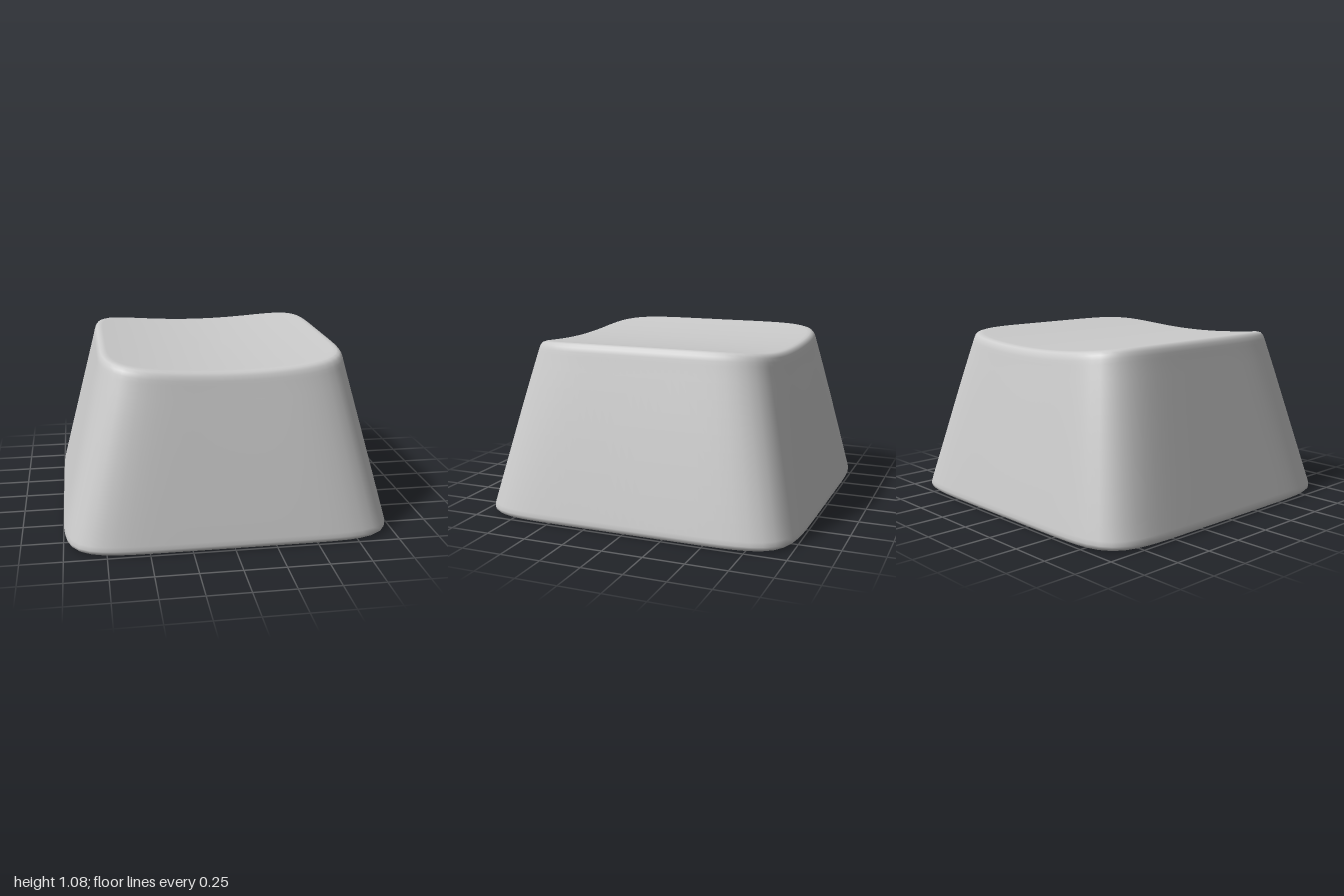
import * as THREE from 'three';

const SEGMENTS = 112;
const DISH = 0.055; // depth of the cylindrical dish in the top

// Cross-sections from bottom centre to top centre:
// [half width x, half depth z, corner squareness, height, share of dish]
const sections = [
  [0, 0, 7.5, 0, 0],
  [0.5, 0.5, 7.5, 0, 0],
  [0.93, 0.93, 7.5, 0, 0],
  [0.965, 0.965, 7.5, 0.001, 0],
  [0.985, 0.985, 7.5, 0.006, 0],
  [0.997, 0.997, 7.5, 0.018, 0],
  [1, 1, 7.5, 0.035, 0],
  [0.994, 0.995, 7.5, 0.06, 0],
];
// tapering walls
for (let i = 1; i <= 10; i++) {
  const t = i / 10;
  sections.push([
    THREE.MathUtils.lerp(0.994, 0.757, t),
    THREE.MathUtils.lerp(0.995, 0.79, t),
    THREE.MathUtils.lerp(7.5, 5.8, t),
    THREE.MathUtils.lerp(0.06, 1.0, t),
    t * t,
  ]);
}
// rounded rim
sections.push(
  [0.752, 0.785, 5.7, 1.025, 1],
  [0.744, 0.777, 5.7, 1.05, 1],
  [0.732, 0.765, 5.7, 1.067, 1],
  [0.716, 0.749, 5.7, 1.075, 1],
  [0.695, 0.728, 5.7, 1.076, 1],
);
// dished top
for (const s of [0.95, 0.85, 0.7, 0.55, 0.4, 0.25, 0.1, 0]) {
  sections.push([0.695 * s, 0.728 * s, 5.7, 1.076, 1]);
}

// Joins rounded-square loops into one smooth skin
function loftKeycap() {
  const positions = [];
  const indices = [];
  sections.forEach(([hx, hz, n, y, dish], row) => {
    for (let j = 0; j < SEGMENTS; j++) {
      const a = (j / SEGMENTS) * Math.PI * 2;
      const c = Math.cos(a);
      const s = Math.sin(a);
      const r = (Math.abs(c) ** n + Math.abs(s) ** n) ** (-1 / n);
      const x = hx * r * c;
      const sag = dish * DISH * Math.max(0, 1 - (x / 0.715) ** 2);
      positions.push(x, y - sag, hz * r * s);
      if (row < sections.length - 1) {
        const k = (j + 1) % SEGMENTS;
        const lo = row * SEGMENTS;
        const hi = lo + SEGMENTS;
        if (row < sections.length - 2) indices.push(lo + j, hi + j, hi + k);
        if (row > 0) indices.push(lo + j, row < sections.length - 2 ? hi + k : hi + j, lo + k);
      }
    }
  });
  const geometry = new THREE.BufferGeometry();
  geometry.setAttribute('position', new THREE.Float32BufferAttribute(positions, 3));
  geometry.setIndex(indices);
  geometry.computeVertexNormals();
  return geometry;
}

export function createModel() {
  const group = new THREE.Group();
  group.name = 'keycap';
  const body = new THREE.Mesh(loftKeycap(), new THREE.MeshStandardMaterial({ color: 0xcccccc }));
  body.name = 'keycapBody';
  group.add(body);
  return group;
}
